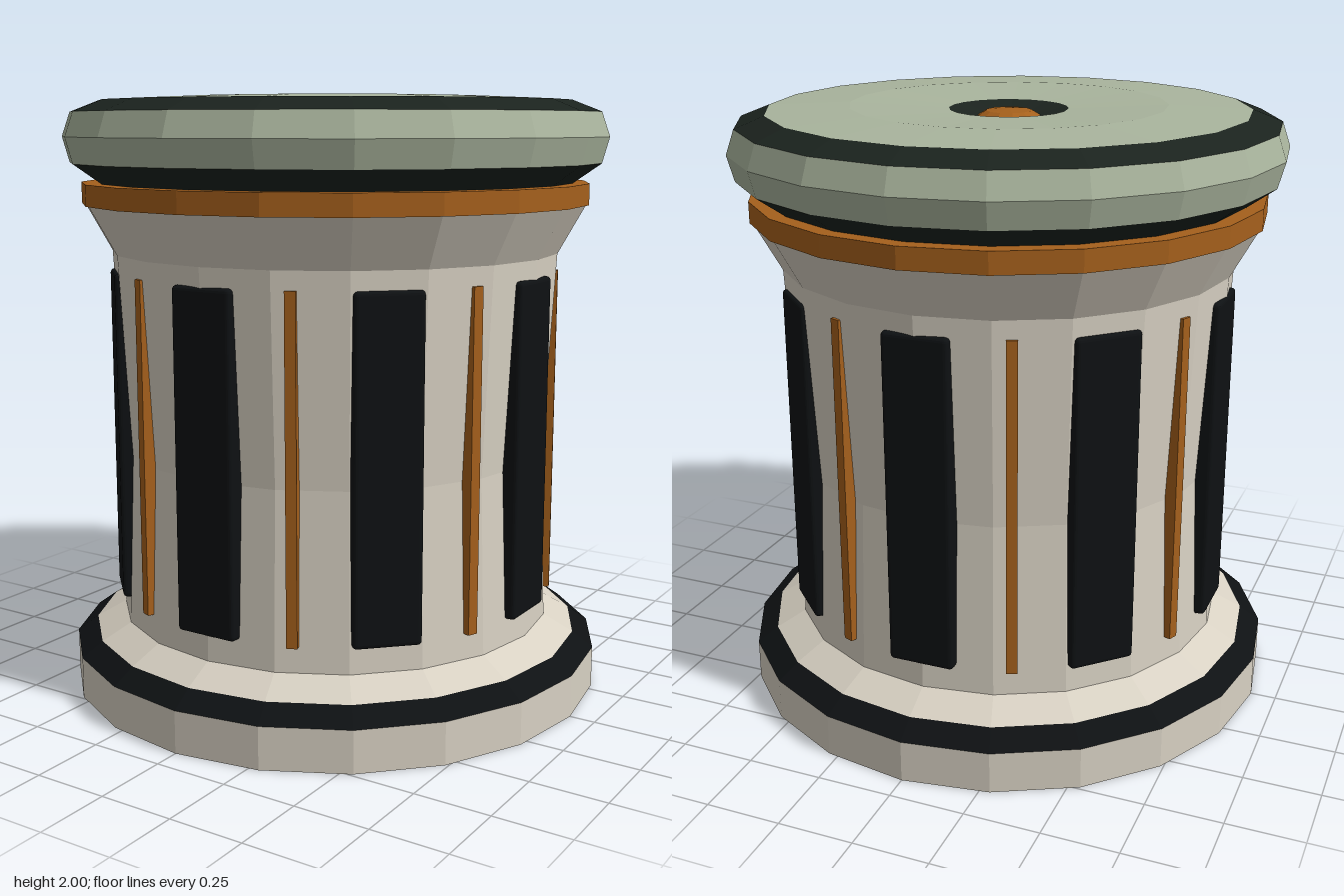
import * as THREE from 'three';
import { RoundedBoxGeometry } from 'three/addons/geometries/RoundedBoxGeometry.js';

const SIDES = 20;
const paint = (color) => new THREE.MeshStandardMaterial({ color, flatShading: true, side: THREE.DoubleSide });

export function createModel() {
  const group = new THREE.Group();
  const stone = paint(0xd8d1c3);
  const dark = paint(0x1b231e);
  const black = paint(0x0e1113);
  const green = paint(0xa9b49d);
  const orange = paint(0xa5601c);

  const add = (name, geometry, material, parent = group) => {
    const mesh = new THREE.Mesh(geometry, material);
    mesh.name = name;
    parent.add(mesh);
    return mesh;
  };
  // Faceted ring from [radius, height] pairs, listed bottom to top
  const turn = (name, profile, material, sides = SIDES) =>
    add(name, new THREE.LatheGeometry(profile.map(([r, y]) => new THREE.Vector2(r, y)), sides), material);

  // Base
  turn('base', [[0, 0], [0.915, 0], [0.915, 0.14]], stone);
  turn('baseTrim', [[0.915, 0.14], [0.845, 0.19]], black);
  turn('baseSlope', [[0.845, 0.19], [0.745, 0.245]], stone);

  // Slightly waisted drum, flaring at the top
  turn('body', [[0.745, 0.245], [0.722, 0.82], [0.757, 1.49], [0.845, 1.65]], stone);

  // Collar and lid
  turn('collar', [[0.845, 1.65], [0.855, 1.65], [0.855, 1.72], [0.8, 1.72]], orange);
  turn('lidLowerTrim', [[0.8, 1.72], [0.892, 1.785]], dark);
  turn('lidRim', [[0.892, 1.785], [0.915, 1.87], [0.887, 1.95]], green);
  turn('lidUpperTrim', [[0.887, 1.95], [0.79, 1.988]], dark);
  turn('lidTop', [[0.79, 1.988], [0.52, 2], [0.195, 1.985]], green);

  // Sunken centre with a small button
  turn('lidSocket', [[0.195, 1.985], [0.1, 1.96], [0, 1.96]], dark);
  turn('lidButton', [[0.105, 1.96], [0.075, 1.978], [0, 1.985]], orange, 12);

  // Alternating panels and thin strips around the drum
  const panelShape = new RoundedBoxGeometry(0.22, 1.1, 0.12, 2, 0.014);
  const stripShape = new THREE.BoxGeometry(0.035, 1.1, 0.1);
  for (let i = 0; i < 16; i++) {
    const isPanel = i % 2 === 0;
    const holder = new THREE.Group();
    holder.name = isPanel ? 'panelHolder' : 'stripHolder';
    holder.rotation.y = (i / 16) * Math.PI * 2;
    const mesh = isPanel
      ? add('panel', panelShape, black, holder)
      : add('strip', stripShape, orange, holder);
    mesh.position.set(0, 0.88, isPanel ? 0.698 : 0.707);
    group.add(holder);
  }
  return group;
}
